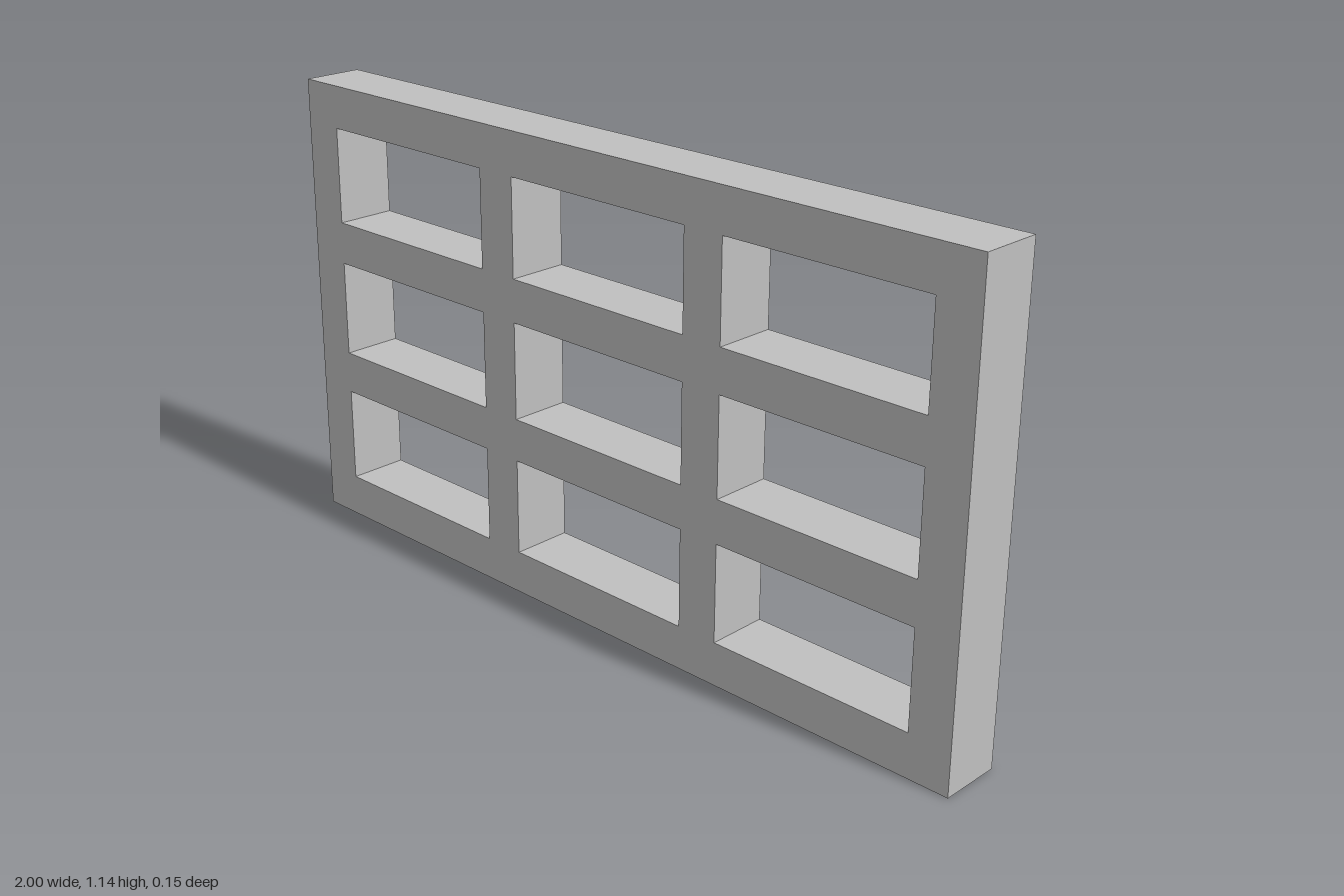
import * as THREE from 'three';

const WIDTH = 2, HEIGHT = 1.142, DEPTH = 0.152, BAR = 0.106;
const COLUMNS = 3, ROWS = 3;

// Adds the four corners of a rectangle to a shape or hole path
function rectangle(path, x, y, w, h) {
  path.moveTo(x, y);
  path.lineTo(x + w, y);
  path.lineTo(x + w, y + h);
  path.lineTo(x, y + h);
  path.closePath();
  return path;
}

export function createModel() {
  const group = new THREE.Group();
  group.name = 'latticePanel';

  const grey = new THREE.MeshStandardMaterial({ color: 0xc0c0c0 });
  grey.name = 'light grey';

  // Outer frame, standing on the ground
  const outline = rectangle(new THREE.Shape(), -WIDTH / 2, 0, WIDTH, HEIGHT);

  // Equal openings separated by bars of constant width
  const openW = (WIDTH - BAR * (COLUMNS + 1)) / COLUMNS;
  const openH = (HEIGHT - BAR * (ROWS + 1)) / ROWS;
  for (let c = 0; c < COLUMNS; c++) {
    for (let r = 0; r < ROWS; r++) {
      const x = -WIDTH / 2 + BAR + c * (openW + BAR);
      const y = BAR + r * (openH + BAR);
      outline.holes.push(rectangle(new THREE.Path(), x, y, openW, openH));
    }
  }

  const geometry = new THREE.ExtrudeGeometry(outline, { depth: DEPTH, bevelEnabled: false });
  geometry.translate(0, 0, -DEPTH / 2);

  const frame = new THREE.Mesh(geometry, grey);
  frame.name = 'windowFrame';
  group.add(frame);
  return group;
}
